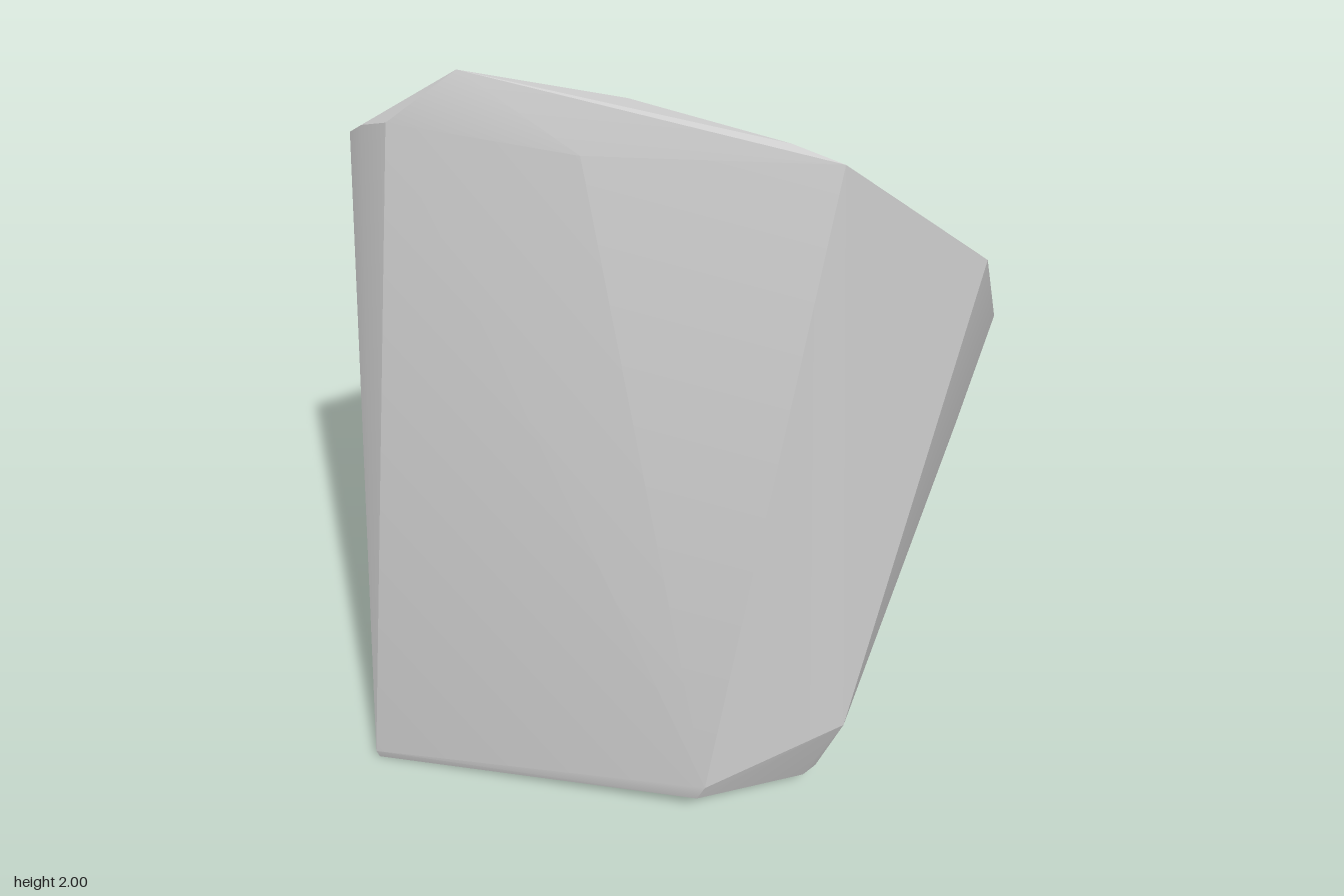
import * as THREE from 'three';
import { ConvexGeometry } from 'three/addons/geometries/ConvexGeometry.js';
import { toCreasedNormals } from 'three/addons/utils/BufferGeometryUtils.js';

// Corners of the boulder, grouped by region, each [x, y, z]
const corners = {
  base: [[-0.75, 0, 0.26], [-0.755, 0.03, 0.27], [0.08, 0.1, 0.44], [0.34, 0.075, 0.32], [0.37, 0.09, 0.3], [0.45, 0.17, 0.16]],
  front: [[0.1, 0.15, 0.45], [0.43, 0.32, 0.38], [0.36, 1.85, 0.335], [-0.17, 1.85, 0.335], [-0.57, 1.88, 0.28]],
  crown: [[-0.42, 2, 0.27], [-0.63, 1.85, 0.24], [-0.665, 1.81, 0.2], [0.25, 1.88, 0.31], [-0.08, 1.94, 0.255], [-0.42, 1.91, 0.15]],
  leftSide: [[0.69, 1.46, 0.06], [0.755, 1.1, -0.25], [0.735, 0.93, -0.34], [0.69, 0.77, -0.25]],
  rightSide: [[-0.7, 0.54, -0.07], [-0.67, 0.62, -0.15], [-0.48, 1.4, -0.3], [-0.48, 1.15, -0.4]],
  upperBevel: [[-0.42, 1.48, -0.29], [-0.1, 1.42, -0.3], [0.38, 1.24, -0.31], [-0.3, 1.36, -0.385]],
  backRidge: [[-0.45, 1.2, -0.445], [-0.18, 1.27, -0.435], [-0.18, 1.19, -0.455], [-0.18, 1.09, -0.435], [0.38, 1.08, -0.41], [0.38, 0.99, -0.4], [-0.42, 1.07, -0.42]],
  lowerBack: [[0.37, 0.37, -0.12], [-0.42, 0.42, -0.06]],
};

export function createModel() {
  const group = new THREE.Group();
  group.name = 'rock';
  const points = Object.values(corners).flat().map((p) => new THREE.Vector3(...p));
  // Blend shallow bevels while keeping the main breaks sharp
  const geometry = toCreasedNormals(new ConvexGeometry(points), 0.35);
  const boulder = new THREE.Mesh(geometry, new THREE.MeshStandardMaterial({ color: 0xcccccc }));
  boulder.name = 'boulder';
  group.add(boulder);
  return group;
}
